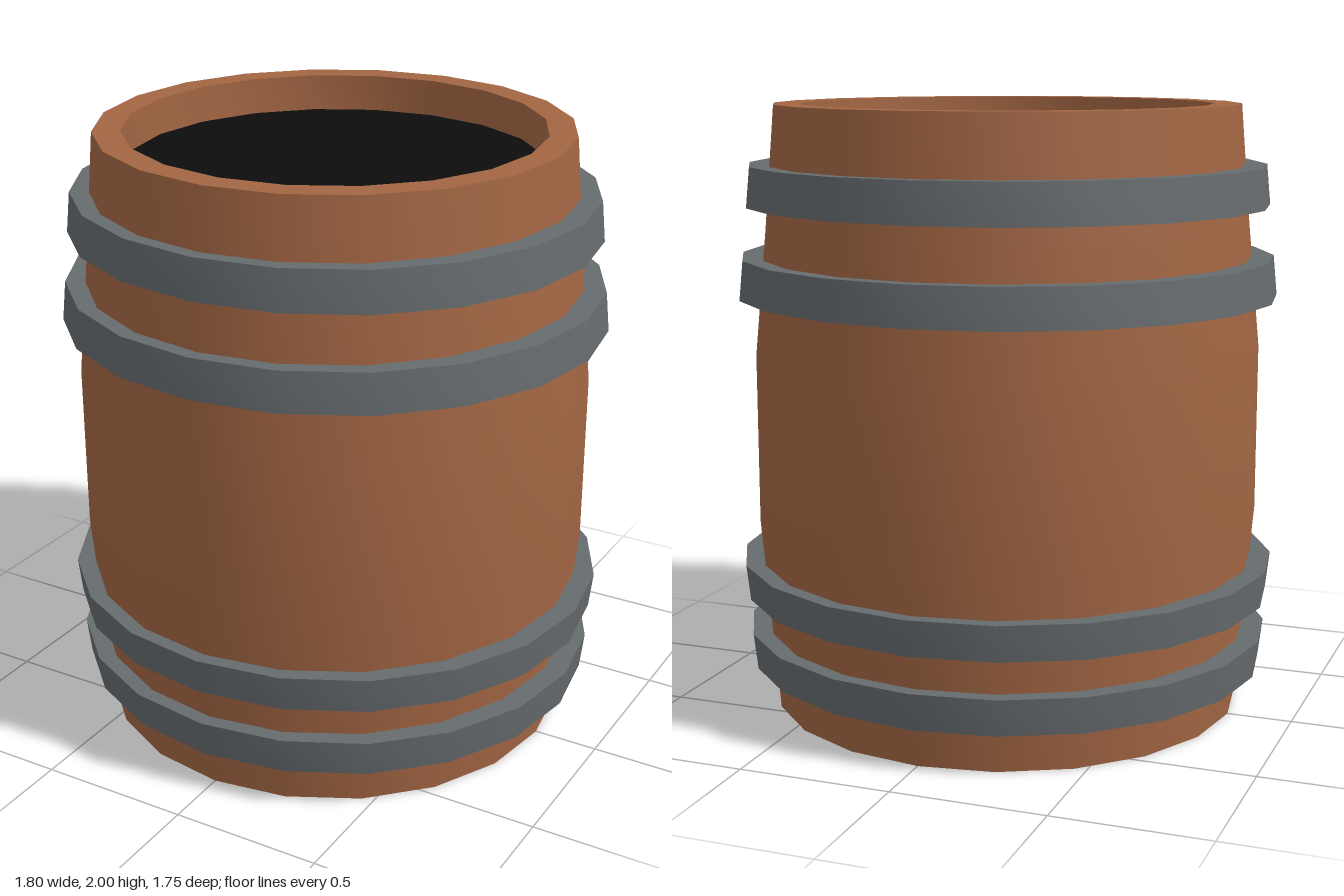
import * as THREE from 'three';
import { toCreasedNormals } from 'three/addons/utils/BufferGeometryUtils.js';

const SIDES = 20;

// Revolve a [radius, height] profile: smooth around, sharp at the corners
function turned(profile) {
  const points = profile.map(([r, y]) => new THREE.Vector2(r, y));
  return toCreasedNormals(new THREE.LatheGeometry(points, SIDES), 0.65);
}

export function createModel() {
  const wood = new THREE.MeshStandardMaterial({ color: 0xa36643 });
  wood.name = 'wood';
  const iron = new THREE.MeshStandardMaterial({ color: 0x666b6e });
  iron.name = 'iron';
  const dark = new THREE.MeshStandardMaterial({ color: 0x0d0d0d });
  dark.name = 'darkContents';

  const barrel = new THREE.Group();
  barrel.name = 'barrel';
  const add = (name, geometry, material) => {
    const mesh = new THREE.Mesh(geometry, material);
    mesh.name = name;
    barrel.add(mesh);
    return mesh;
  };

  // Bulging staves, the flat top rim and the inner lip
  add('staves', turned([
    [0.785, 0], [0.84, 0.65], [0.84, 1.2], [0.8, 1.61], [0.767, 2],
    [0.677, 2], [0.677, 1.86],
  ]), wood);

  // Flat underside
  const base = add('base', new THREE.CircleGeometry(0.785, SIDES), wood);
  base.rotation.x = Math.PI / 2;

  // Dark surface recessed below the rim
  const contents = add('contents', new THREE.CircleGeometry(0.677, SIDES), dark);
  contents.rotation.x = -Math.PI / 2;
  contents.position.y = 1.88;

  // Iron hoops: bottom height, top height, bottom radius, top radius
  const hoops = [
    ['lowestHoop', 0.137, 0.257, 0.866, 0.88],
    ['lowerHoop', 0.377, 0.495, 0.885, 0.898],
    ['upperHoop', 1.377, 1.506, 0.897, 0.884],
    ['highestHoop', 1.674, 1.805, 0.868, 0.855],
  ];
  for (const [name, y0, y1, r0, r1] of hoops) {
    const hoop = add(name, turned([
      [r0 - 0.11, y0], [r0, y0], [r1, y1], [r1 - 0.11, y1],
    ]), iron);
    hoop.scale.z = 0.972;
  }

  return barrel;
}
